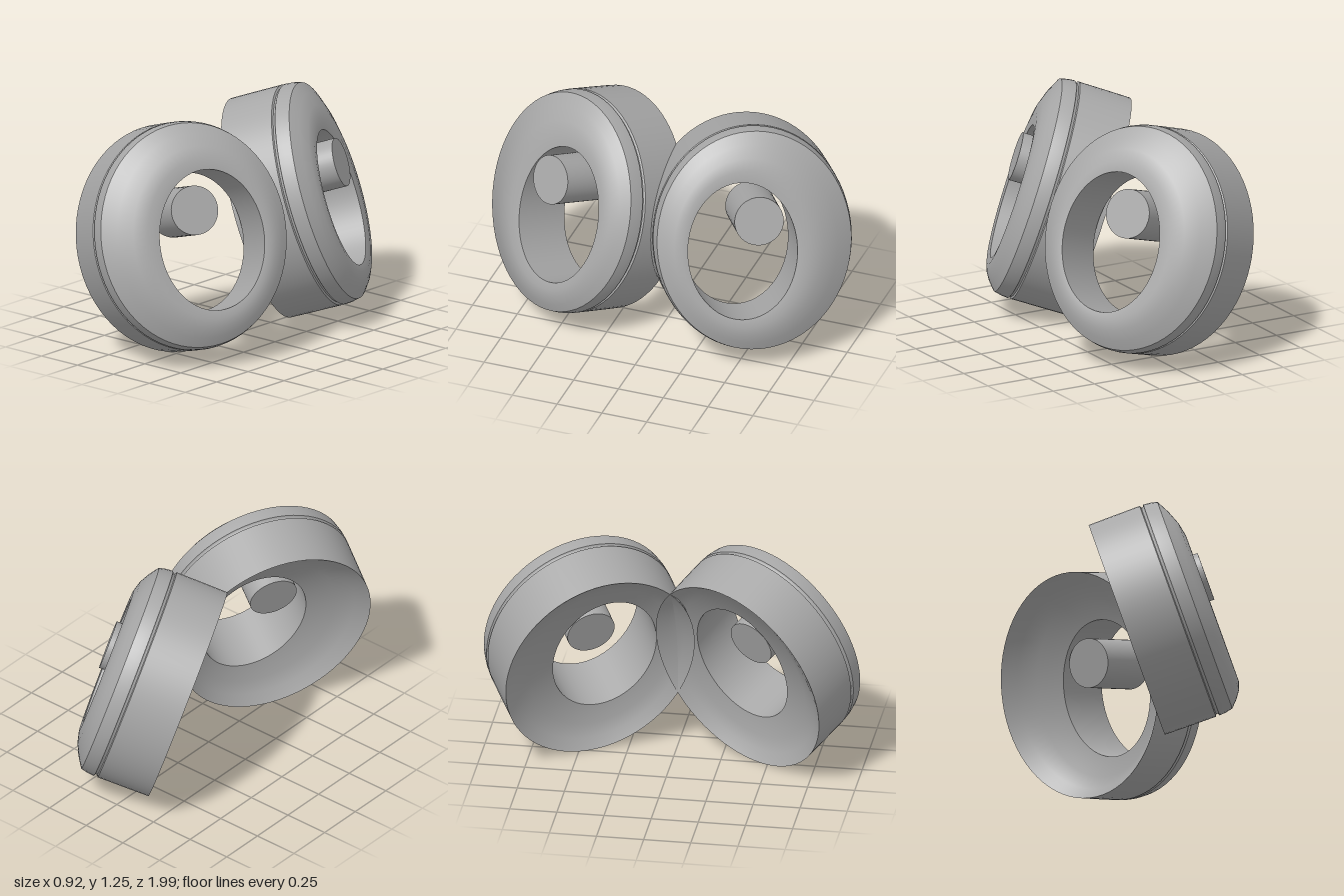
import * as THREE from 'three';

// Elliptical section: half axes of the rim
const A = 0.59, B = 0.514;
const SEG = 72;

export function createModel() {
  const root = new THREE.Group();
  const grey = new THREE.MeshStandardMaterial({ color: 0xa8a8a8, side: THREE.DoubleSide });
  grey.name = 'plain grey';

  // Profiles as [fraction of the rim ellipse, height along the axis]
  const sections = {
    outerWall: [[1.015, -0.38], [1.018, -0.25], [1.02, -0.095]],
    grooveLower: [[1.02, -0.095], [1.0, -0.09]],
    grooveUpper: [[1.0, -0.09], [1.0, -0.08], [1.02, -0.075]],
    rimBand: [[1.02, -0.075], [1.015, -0.04], [1.0, 0]],
    domedFace: [[1.0, 0], [0.9, 0.038], [0.8, 0.066], [0.7, 0.08], [0.61, 0.075]],
    innerTube: [[0.61, 0.075], [0.605, -0.09], [0.6, -0.25]],
    backDish: [[0.6, -0.25], [0.8, -0.285], [0.92, -0.33], [1.015, -0.38]],
  };

  // Turned ring stretched to an ellipse; the hole is narrower and off centre
  function ringSection(profile, side) {
    const geo = new THREE.LatheGeometry(profile.map(([r, t]) => new THREE.Vector2(r, t)), SEG);
    const pos = geo.attributes.position;
    const blend = [];
    for (let i = 0; i < pos.count; i++) {
      const r = Math.hypot(pos.getX(i), pos.getZ(i));
      blend.push(THREE.MathUtils.clamp((1 - r) / 0.39, 0, 1));
    }
    geo.scale(A, 1, B);
    blend.forEach((k, i) => {
      pos.setX(i, pos.getX(i) * (1 + 0.03 * k) - 0.035 * k);
      pos.setZ(i, pos.getZ(i) * (1 - 0.075 * k) + 0.073 * k * side);
    });
    return geo;
  }

  for (const side of [1, -1]) {
    const cup = new THREE.Group();
    cup.name = side > 0 ? 'frontCup' : 'rearCup';

    for (const [name, profile] of Object.entries(sections)) {
      const mesh = new THREE.Mesh(ringSection(profile, side), grey);
      mesh.name = name;
      cup.add(mesh);
    }

    // Round peg standing in the opening
    const peg = new THREE.Mesh(new THREE.CylinderGeometry(0.13, 0.13, 0.346, 48), grey);
    peg.name = 'peg';
    peg.position.set(0.128, -0.067, -0.017 * side);
    cup.add(peg);

    // Tilted frame: local y is the cup axis, local x the long axis of the ellipse
    const axis = new THREE.Vector3(0.833, 0.308, 0.458 * side).normalize();
    const long = new THREE.Vector3(0, 1, 0);
    long.addScaledVector(axis, -long.dot(axis)).normalize();
    const short = new THREE.Vector3().crossVectors(long, axis);
    cup.quaternion.setFromRotationMatrix(new THREE.Matrix4().makeBasis(long, axis, short));
    cup.position.set(0.155, 0.688, 0.538 * side);
    root.add(cup);
  }
  return root;
}
